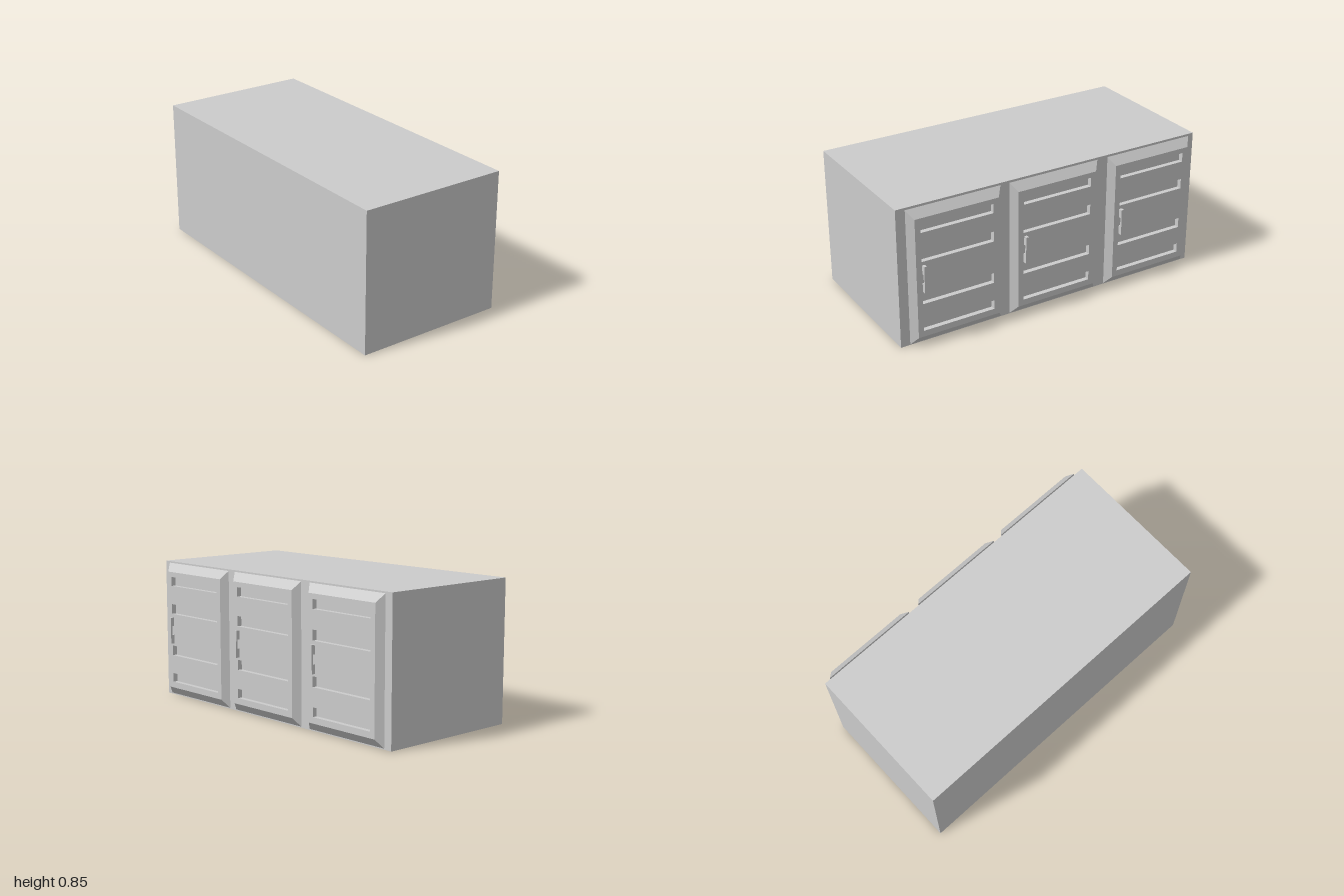
import * as THREE from 'three';

const material = new THREE.MeshStandardMaterial({ color: 0xcccccc, flatShading: true });

function addMesh(parent, name, geometry) {
  const mesh = new THREE.Mesh(geometry, material);
  mesh.name = name;
  parent.add(mesh);
  return mesh;
}

// Rectangle in the plane of a given x, counter-clockwise as seen from +x
function rect(x, halfWidth, y0, y1) {
  return [[x, y0, halfWidth], [x, y0, -halfWidth], [x, y1, -halfWidth], [x, y1, halfWidth]];
}

// Four walls joining rectangle a to rectangle b, with optional end caps
function loft(a, b, { capA = false, capB = false } = {}) {
  const points = [];
  const quad = (p, q, r, s) => points.push(...p, ...q, ...r, ...p, ...r, ...s);
  for (let i = 0; i < 4; i++) {
    const j = (i + 1) % 4;
    quad(a[i], a[j], b[j], b[i]);
  }
  if (capA) quad(a[3], a[2], a[1], a[0]);
  if (capB) quad(...b);
  const geometry = new THREE.BufferGeometry();
  geometry.setAttribute('position', new THREE.Float32BufferAttribute(points, 3));
  geometry.computeVertexNormals();
  return geometry;
}

const polygon = (points, Type) => new Type(points.map(([x, y]) => new THREE.Vector2(x, y)));

const BACK_X = 0.43, FACE_X = 0.47, FLOOR_X = 0.44;
const SLOT_HALF = 0.227;
const SLOTS = [[0.097, 0.153], [0.268, 0.33], [0.531, 0.593], [0.708, 0.764]];

function createDoor(tilt) {
  const door = new THREE.Group();

  // Bevelled rim with closed back
  addMesh(door, 'doorRim', loft(
    rect(BACK_X, 0.296, 0.01, 0.845), rect(FACE_X, 0.261, 0.06, 0.795), { capA: true }));

  // Front panel pierced by four slots
  const panel = polygon([[-0.261, 0.06], [0.261, 0.06], [0.261, 0.795], [-0.261, 0.795]], THREE.Shape);
  for (const [y0, y1] of SLOTS) {
    panel.holes.push(polygon(
      [[-SLOT_HALF, y0], [-SLOT_HALF, y1], [SLOT_HALF, y1], [SLOT_HALF, y0]], THREE.Path));
    // Recess walls and floor
    addMesh(door, 'slotRecess', loft(
      rect(FACE_X, SLOT_HALF, y0, y1), rect(FLOOR_X, SLOT_HALF, y0, y1), { capB: true }));
  }
  addMesh(door, 'doorPanel', new THREE.ShapeGeometry(panel).rotateY(Math.PI / 2).translate(FACE_X, 0, 0));

  // C-shaped pull handle
  const profile = polygon([
    [0, -0.082], [0.025, -0.082], [0.025, 0.082], [0, 0.082],
    [0, 0.028], [0.014, 0.028], [0.014, -0.027], [0, -0.027],
  ], THREE.Shape);
  const handle = addMesh(door, 'handle',
    new THREE.ExtrudeGeometry(profile, { depth: 0.017, bevelEnabled: false }).translate(0, 0, -0.0085));
  handle.position.set(FACE_X, 0.428, 0.217);
  handle.rotation.x = tilt;
  return door;
}

export function createModel() {
  const model = new THREE.Group();
  model.name = 'cabinet';

  // Plain cabinet body
  addMesh(model, 'body', new THREE.BoxGeometry(0.915, 0.853, 2).translate(-0.0375, 0.4265, 0));

  // Three doors on the left side, handles slightly out of true
  [[0.651, 0], [0.001, -0.03], [-0.662, 0.02]].forEach(([z, tilt], i) => {
    const door = createDoor(tilt);
    door.name = `door${i + 1}`;
    door.position.z = z;
    model.add(door);
  });
  return model;
}
